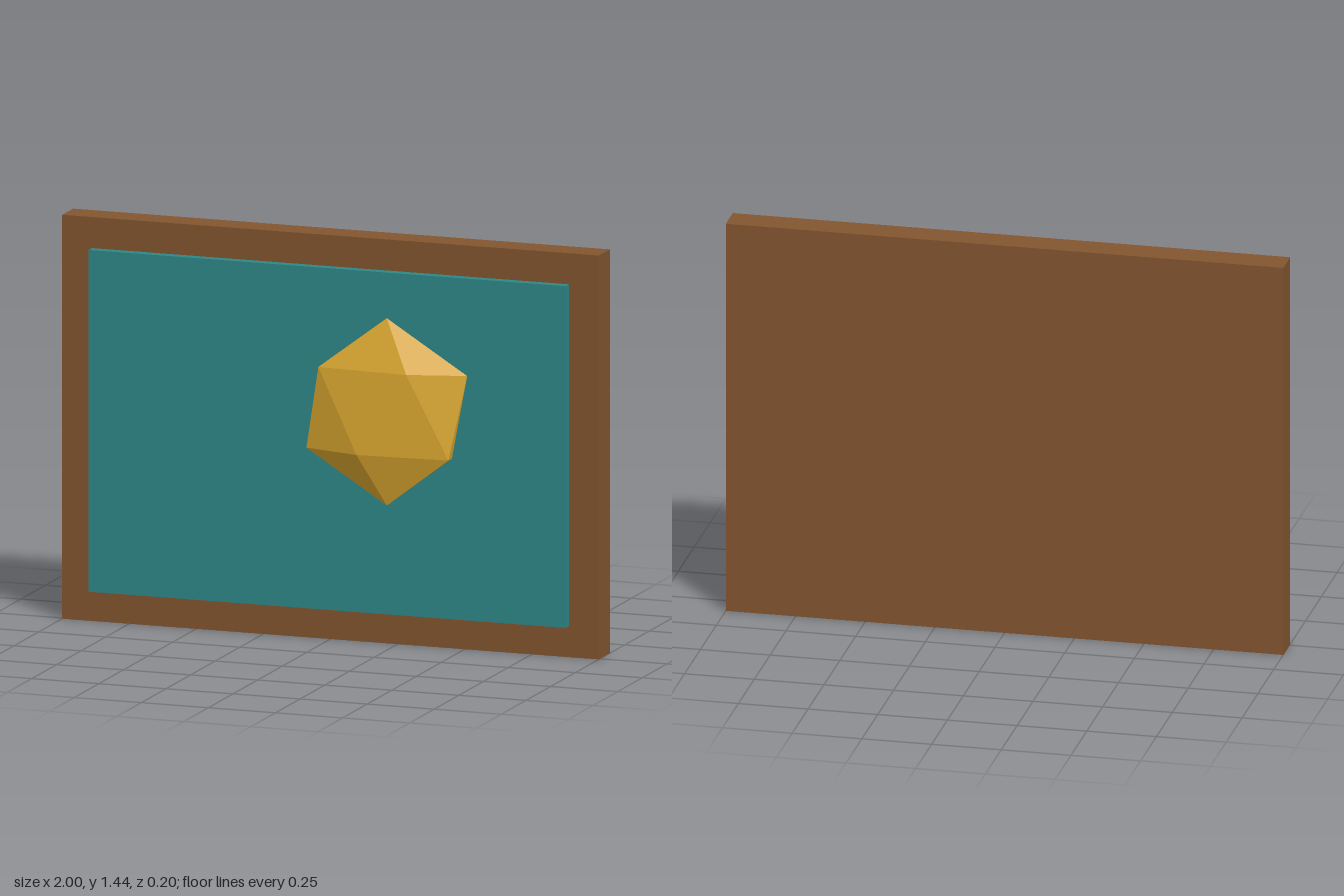
import * as THREE from 'three';
import { ConvexGeometry } from 'three/addons/geometries/ConvexGeometry.js';

const material = (name, color) => {
  const m = new THREE.MeshStandardMaterial({ color });
  m.name = name;
  return m;
};

export function createModel() {
  const group = new THREE.Group();
  const add = (name, geometry, mat, x, y, z) => {
    const mesh = new THREE.Mesh(geometry, mat);
    mesh.name = name;
    mesh.position.set(x, y, z);
    group.add(mesh);
    return mesh;
  };

  // Wooden backing board, its rim showing around the panel
  add('backingBoard', new THREE.BoxGeometry(2, 1.444, 0.111), material('brown wood', 0x83552f), 0, 0.722, -0.045);

  // Raised panel, sunk slightly into the board
  add('panel', new THREE.BoxGeometry(1.778, 1.222, 0.044), material('teal', 0x2f8888), 0, 0.722, 0.022);

  // Faceted gem: an upright icosahedron, flattened and half sunk in the panel
  const points = [new THREE.Vector3(0, 1, 0), new THREE.Vector3(0, -1, 0)];
  const h = 1 / Math.sqrt(5);
  for (let i = 0; i < 10; i++) {
    const a = (i * Math.PI) / 5;
    points.push(new THREE.Vector3(2 * h * Math.cos(a), i % 2 ? -h : h, 2 * h * Math.sin(a)));
  }
  const gem = add('gem', new ConvexGeometry(points), material('gold', 0xdeaa30), 0.222, 0.835, 0.044);
  gem.scale.set(0.335, 0.335, 0.0665);

  return group;
}
